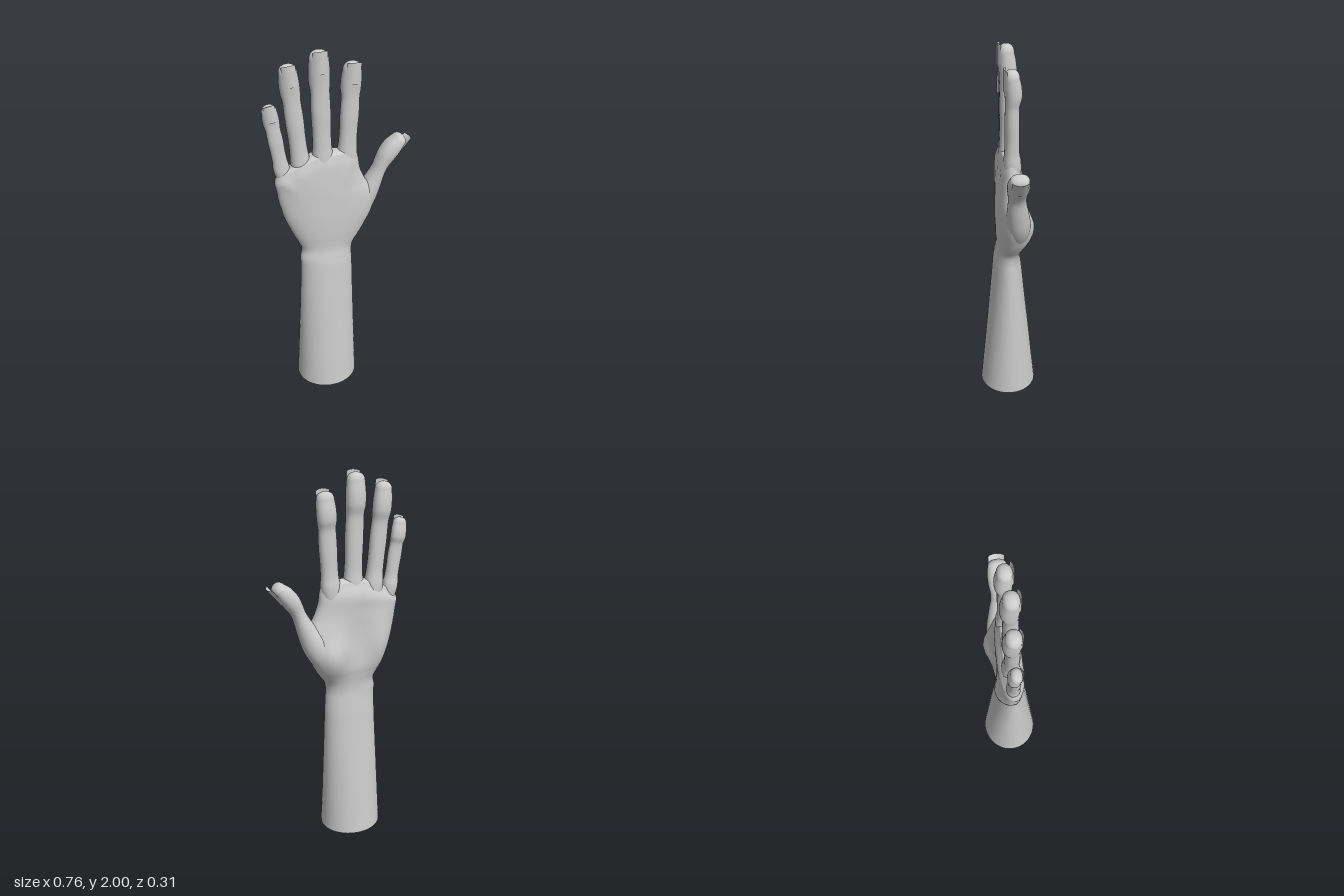
import * as THREE from 'three';

const skin = new THREE.MeshStandardMaterial({ color: 0xcccccc, side: THREE.DoubleSide });
const SIDES = 40;

// Gaussian bump centred on (cx, cy)
const bump = (x, y, cx, cy, sx, sy) => Math.exp(-(((x - cx) / sx) ** 2) - ((y - cy) / sy) ** 2);
const power = (v, e) => Math.sign(v) * Math.abs(v) ** e;

// Catmull-Rom resampling of a table of sections, column by column
function resample(rows, steps) {
  const out = [];
  const at = (i) => rows[Math.min(Math.max(i, 0), rows.length - 1)];
  for (let i = 0; i < rows.length - 1; i++) {
    for (let k = 0; k < steps; k++) {
      const t = k / steps;
      out.push(rows[i].map((b, c) => {
        const a = at(i - 1)[c], d = at(i + 1)[c], e = at(i + 2)[c];
        return b + 0.5 * t * (d - a + t * (2 * a - 5 * b + 4 * d - e + t * (3 * (b - d) + e - a)));
      }));
    }
  }
  out.push(rows[rows.length - 1]);
  return out;
}

// Skin over sections [x, y, z, side radius, depth radius, corner exponent], closed by a rounded end
function loft(name, rows, cap, rule) {
  const secs = resample(rows, 5);
  const last = secs.length - 1;
  const rings = secs.map((s, i) => {
    const a = secs[Math.max(i - 1, 0)], b = secs[Math.min(i + 1, last)];
    return { s, t: new THREE.Vector2(b[0] - a[0], b[1] - a[1]).normalize(), grow: 1, lift: 0 };
  });
  for (let k = 1; k <= 8; k++) {
    const a = (k / 8) * Math.PI / 2;
    rings.push({ s: secs[last], t: rings[last].t, grow: Math.max(Math.cos(a), 0.0001) ** 0.8, lift: cap * Math.sin(a) });
  }
  const pos = [], index = [], v = new THREE.Vector3();
  rings.forEach(({ s, t, grow, lift }, i) => {
    for (let j = 0; j < SIDES; j++) {
      const a = (j / SIDES) * Math.PI * 2;
      const u = power(Math.cos(a), s[5]) * s[3] * grow;
      v.set(s[0] + t.x * lift + t.y * u, s[1] + t.y * lift - t.x * u, s[2] + power(Math.sin(a), s[5]) * s[4] * grow);
      if (rule) rule(v);
      pos.push(v.x, v.y, v.z);
      if (i === rings.length - 1) continue;
      const p = i * SIDES + j, q = i * SIDES + (j + 1) % SIDES;
      index.push(p, p + SIDES, q, q, p + SIDES, q + SIDES);
    }
  });
  const geo = new THREE.BufferGeometry();
  geo.setAttribute('position', new THREE.Float32BufferAttribute(pos, 3));
  geo.setIndex(index);
  geo.computeVertexNormals();
  const mesh = new THREE.Mesh(geo, skin);
  mesh.name = name;
  return mesh;
}

// Curved nail plate with a rounded cuticle; grows along 'along' and faces 'out'
function nail(name, origin, along, out, w, d, length) {
  const geo = new THREE.PlaneGeometry(2, 1, 12, 10);
  const p = geo.attributes.position;
  for (let i = 0; i < p.count; i++) {
    const v = p.getY(i) + 0.5;
    const narrow = v < 0.3 ? Math.sqrt(1 - 0.75 * (1 - v / 0.3) ** 2) : 1;
    const a = p.getX(i) * narrow * 0.85;
    p.setXYZ(i, w * Math.sin(a), v * length - 0.006 * p.getX(i) ** 2 * (v > 0.9 ? 1 : 0), d * Math.cos(a));
  }
  const side = new THREE.Vector3().crossVectors(along, out);
  geo.applyMatrix4(new THREE.Matrix4().makeBasis(side, along, out).setPosition(origin));
  geo.computeVertexNormals();
  const mesh = new THREE.Mesh(geo, skin);
  mesh.name = name;
  return mesh;
}

// Fingers: root and tip in x, y, half width, half depth scale, depth offset
const FINGERS = [
  { name: 'littleFinger', root: [-0.297, 1.41], tip: [-0.347, 1.75], r: 0.039, k: 0.75, z: -0.008, nail: 0.09 },
  { name: 'ringFinger', root: [-0.2, 1.43], tip: [-0.25, 1.938], r: 0.047, k: 1, z: -0.008, nail: 0.108 },
  { name: 'middleFinger', root: [-0.087, 1.44], tip: [-0.1, 1.992], r: 0.05, k: 1.05, z: 0, nail: 0.112 },
  { name: 'indexFinger', root: [0.043, 1.44], tip: [0.068, 1.914], r: 0.049, k: 1, z: -0.008, nail: 0.11 },
];

// Along the finger: position, width factor, half depth, depth offset
const PROFILE = [
  [-0.3, 0.75, 0.036, 0], [-0.12, 0.98, 0.045, 0], [0, 1.04, 0.044, 0], [0.12, 0.94, 0.038, 0.002],
  [0.28, 0.92, 0.036, 0.002], [0.44, 0.96, 0.036, 0.003], [0.56, 0.95, 0.035, 0.003],
  [0.68, 0.92, 0.035, 0.002], [0.78, 1.02, 0.041, -0.003], [0.89, 1.02, 0.042, -0.001], [1, 0.93, 0.037, 0.004],
];

function finger(f) {
  const group = new THREE.Group();
  group.name = f.name;
  const root = new THREE.Vector3(...f.root, f.z), tip = new THREE.Vector3(...f.tip, f.z);
  const along = tip.clone().sub(root).normalize();
  const cap = 0.85 * f.r;
  const end = tip.clone().addScaledVector(along, -cap);
  const rows = PROFILE.map(([u, w, d, dz]) => {
    const c = root.clone().lerp(end, u);
    return [c.x, c.y, c.z + dz, f.r * w, d * f.k, 0.9];
  });
  const base = tip.clone().addScaledVector(along, 0.007 - f.nail);
  base.z += 0.002;
  group.add(
    loft(f.name + 'Flesh', rows, cap),
    nail(f.name + 'Nail', base, along, new THREE.Vector3(0, 0, 1), f.r * 0.97, 0.044 * f.k, f.nail),
  );
  return group;
}

// Forearm, wrist and palm: y, right edge, left edge, palm side z, back-of-hand z, corner exponent
const BODY = [
  [0, -0.25, 0.09, -0.155, 0.158, 1], [0.2, -0.241, 0.084, -0.134, 0.139, 1], [0.4, -0.232, 0.078, -0.113, 0.12, 1],
  [0.6, -0.223, 0.072, -0.091, 0.102, 1], [0.72, -0.218, 0.069, -0.079, 0.091, 1], [0.8, -0.216, 0.066, -0.07, 0.084, 1],
  [0.85, -0.217, 0.064, -0.065, 0.076, 0.97], [0.9, -0.207, 0.072, -0.067, 0.067, 0.93],
  [0.95, -0.226, 0.105, -0.075, 0.066, 0.9], [1, -0.25, 0.135, -0.083, 0.068, 0.88], [1.1, -0.29, 0.182, -0.083, 0.068, 0.85],
  [1.2, -0.315, 0.185, -0.077, 0.064, 0.83], [1.27, -0.325, 0.14, -0.072, 0.06, 0.8],
  [1.34, -0.332, 0.11, -0.065, 0.056, 0.78], [1.4, -0.334, 0.1, -0.058, 0.051, 0.78], [1.445, -0.325, 0.09, -0.042, 0.04, 0.78],
];

// Palm pads and hollow behind, tendon ridges in front, slope down to the little finger
function modelPalm(v) {
  const { x, y } = v;
  const k = Math.min(1, Math.abs(v.z) / 0.04);
  if (v.z < 0) {
    v.z -= k * (0.046 * bump(x, y, 0.07, 1.07, 0.085, 0.11) + 0.022 * bump(x, y, -0.22, 1.1, 0.06, 0.15)
      - 0.018 * bump(x, y, -0.08, 1.14, 0.06, 0.14) + 0.008 * bump(x, y, -0.1, 1.37, 0.2, 0.05));
  } else {
    for (const f of FINGERS) {
      const lineX = THREE.MathUtils.lerp(-0.08, f.root[0], THREE.MathUtils.clamp((y - 0.9) / 0.5, 0, 1.1));
      v.z += k * 0.006 * bump(x, y, lineX, 1.36, 0.025, 0.13);
    }
  }
  v.y -= 0.4 * THREE.MathUtils.smoothstep(y, 1.25, 1.45) * Math.max(0, -0.12 - x);
}

// Thumb bending outward, its nail facing away from the hand
function thumb() {
  const group = new THREE.Group();
  group.name = 'thumb';
  const rows = [
    [0.02, 0.99, -0.02, 0.06, 0.045, 1], [0.085, 1.07, -0.028, 0.075, 0.064, 1], [0.135, 1.14, -0.027, 0.07, 0.064, 1],
    [0.176, 1.215, -0.02, 0.053, 0.056, 1], [0.212, 1.3, -0.012, 0.038, 0.046, 0.97], [0.232, 1.345, -0.01, 0.04, 0.047, 0.95],
    [0.257, 1.388, -0.01, 0.046, 0.053, 0.92], [0.288, 1.428, -0.01, 0.045, 0.054, 0.9], [0.317, 1.458, -0.01, 0.036, 0.048, 0.9],
  ];
  const along = new THREE.Vector3(0.63, 0.777, 0).normalize();
  const out = new THREE.Vector3(along.y, -along.x, 0);
  group.add(
    loft('thumbFlesh', rows, 0.033),
    nail('thumbNail', new THREE.Vector3(0.273, 1.409, -0.01), along, out, 0.054, 0.049, 0.112),
  );
  return group;
}

export function createModel() {
  const model = new THREE.Group();
  model.name = 'hand';
  const body = BODY.map(([y, x0, x1, z0, z1, e]) => [(x0 + x1) / 2, y, (z0 + z1) / 2, (x1 - x0) / 2, (z1 - z0) / 2, e]);
  // Level rings: every section lies flat, so centre drift is handed to the rule instead of the path
  const drift = resample(body, 5);
  const straight = body.map((s) => [0, ...s.slice(1)]);
  const centreAt = (y) => {
    const i = drift.findIndex((s) => s[1] >= y);
    if (i <= 0) return drift[i < 0 ? drift.length - 1 : 0][0];
    const a = drift[i - 1], b = drift[i];
    return THREE.MathUtils.lerp(a[0], b[0], (y - a[1]) / (b[1] - a[1]));
  };
  model.add(loft('forearmAndPalm', straight, 0.02, (v) => {
    v.x += centreAt(v.y);
    modelPalm(v);
  }));
  FINGERS.forEach((f) => model.add(finger(f)));
  model.add(thumb());
  return model;
}
